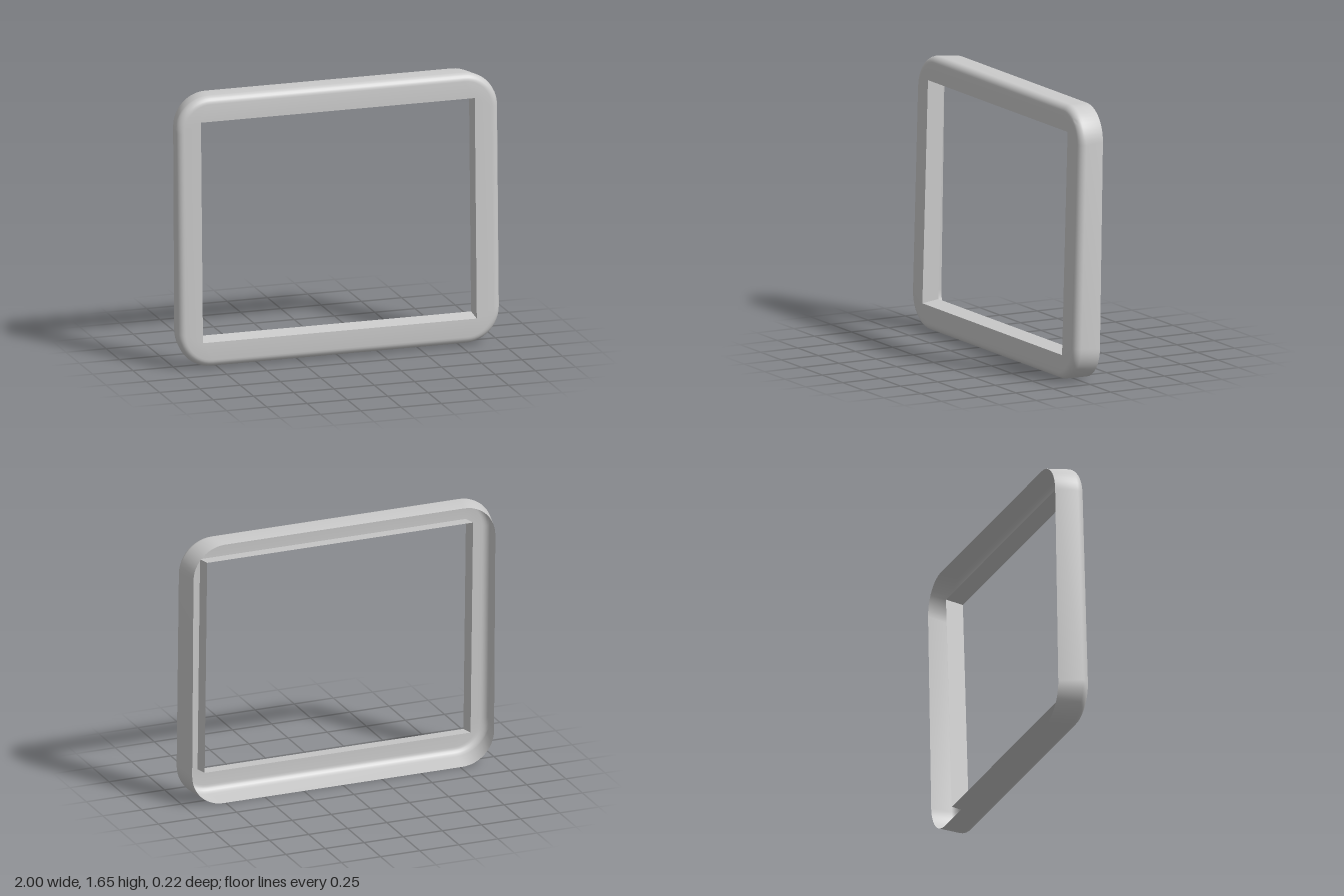
import * as THREE from 'three';
import { toCreasedNormals } from 'three/addons/utils/BufferGeometryUtils.js';

const STEPS = 12; // segments per rounded corner
const FILLET = 0.045;

// The front and back planes both lean back slightly, by different amounts.
const frontZ = (y) => 0.11 - 0.028 * y;
const backZ = (y) => -0.083 - 0.016 * y;

// Rounded rectangle, counter-clockwise from the front, laid on a leaning plane.
function loop(halfWidth, y0, y1, radius, zAt) {
  const points = [];
  const corners = [[1, y0, 1], [1, y1, -1], [-1, y1, -1], [-1, y0, 1]];
  corners.forEach(([side, y, inward], c) => {
    for (let i = 0; i <= STEPS; i++) {
      const a = (c - 1 + i / STEPS) * Math.PI / 2;
      const px = side * (halfWidth - radius) + radius * Math.cos(a);
      const py = y + inward * radius + radius * Math.sin(a);
      points.push(new THREE.Vector3(px, py, zAt(py)));
    }
  });
  return points;
}

// Skin a series of matching closed loops.
function skin(loops) {
  const positions = [];
  const ab = new THREE.Vector3(), ac = new THREE.Vector3();
  const triangle = (a, b, c) => {
    if (ab.subVectors(b, a).cross(ac.subVectors(c, a)).length() < 1e-9) return;
    for (const p of [a, b, c]) positions.push(p.x, p.y, p.z);
  };
  for (let s = 0; s < loops.length - 1; s++) {
    const p = loops[s], q = loops[s + 1];
    for (let i = 0; i < p.length; i++) {
      const j = (i + 1) % p.length;
      triangle(p[i], p[j], q[j]);
      triangle(p[i], q[j], q[i]);
    }
  }
  const geometry = new THREE.BufferGeometry();
  geometry.setAttribute('position', new THREE.Float32BufferAttribute(positions, 3));
  return toCreasedNormals(geometry, 0.6);
}

export function createModel() {
  const group = new THREE.Group();
  group.name = 'screenBezel';
  const material = new THREE.MeshStandardMaterial({ color: 0xcccccc, side: THREE.DoubleSide });
  const add = (name, loops) => {
    const mesh = new THREE.Mesh(skin(loops), material);
    mesh.name = name;
    group.add(mesh);
  };

  // Rectangular opening in the front face
  const openingFront = loop(0.85, 0.16, 1.5, 0, frontZ);

  // Tapered outer wall, rounded front edge and flat front face
  const shell = [loop(0.965, 0, 1.642, 0.2, backZ)];
  for (let i = 0; i <= 6; i++) {
    const t = (i / 6) * Math.PI / 2;
    const inset = FILLET * (1 - Math.cos(t));
    const drop = FILLET * (1 - Math.sin(t));
    shell.push(loop(1 - inset, 0.008 + inset, 1.65 - inset, 0.21 - inset, (y) => frontZ(y) - drop));
  }
  shell.push(openingFront);
  add('outerShell', shell);

  // Thin wall running back from the opening
  const openingBack = openingFront.map((p) => new THREE.Vector3(p.x, p.y + 0.015, p.z - 0.108));
  add('openingWall', [openingFront, openingBack]);

  return group;
}
